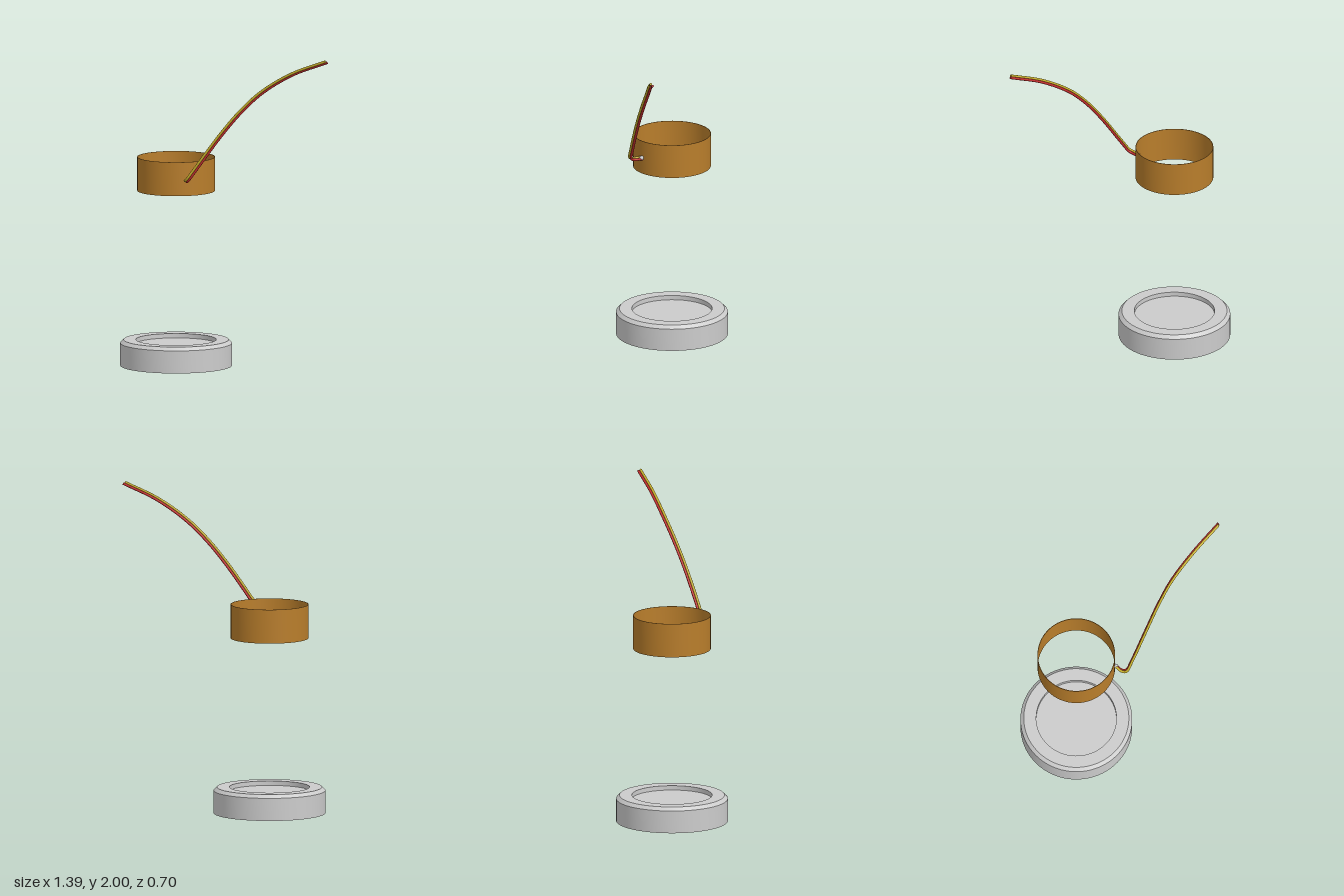
import * as THREE from 'three';
import { toCreasedNormals } from 'three/addons/utils/BufferGeometryUtils.js';

const CX = -0.352; // shared axis of the base and the ring

function lathe(name, points, material) {
  const profile = points.map(([r, y]) => new THREE.Vector2(r, y));
  const geometry = toCreasedNormals(new THREE.LatheGeometry(profile, 96), 0.5);
  const mesh = new THREE.Mesh(geometry, material);
  mesh.name = name;
  mesh.position.x = CX;
  return mesh;
}

// Insulated wire: a tube with a flat cap on each end
function wire(name, points, offset, radius, material) {
  const group = new THREE.Group();
  group.name = name;
  const curve = new THREE.CatmullRomCurve3(points.map((p) => new THREE.Vector3(...p).add(offset)));
  group.add(new THREE.Mesh(new THREE.TubeGeometry(curve, 120, radius, 16), material));
  for (const [t, sign] of [[0, -1], [1, 1]]) {
    const cap = new THREE.Mesh(new THREE.CircleGeometry(radius, 16), material);
    cap.position.copy(curve.getPoint(t));
    cap.quaternion.setFromUnitVectors(
      new THREE.Vector3(0, 0, 1), curve.getTangent(t).multiplyScalar(sign));
    group.add(cap);
  }
  return group;
}

export function createModel() {
  const model = new THREE.Group();
  const mat = (color) => new THREE.MeshStandardMaterial({ color });
  const grey = mat(0xcccccc);
  const copper = mat(0xb87d2b);
  copper.side = THREE.DoubleSide;

  // Disc base with chamfered rim and shallow round recess
  model.add(lathe('base', [
    [0, 0], [0.348, 0], [0.348, 0.142], [0.327, 0.163],
    [0.25, 0.163], [0.25, 0.135], [0, 0.135],
  ], grey));

  // Thin open coil ring floating above the base
  model.add(lathe('coilRing', [
    [0.239, 1.1], [0.242, 1.1], [0.242, 1.313], [0.239, 1.313], [0.239, 1.1],
  ], copper));

  // Pair of lead wires following one path
  const path = [
    [-0.226, 1.203, 0.215], [-0.226, 1.2, 0.262], [-0.212, 1.21, 0.286],
    [-0.16, 1.28, 0.289], [0, 1.5, 0.28], [0.13, 1.655, 0.27], [0.265, 1.78, 0.266],
    [0.46, 1.9, 0.282], [0.683, 1.988, 0.309],
  ];
  const shift = new THREE.Vector3(0.005, -0.004, -0.005);
  model.add(wire('redWire', path, shift, 0.008, mat(0xc02c2c)));
  model.add(wire('yellowWire', path, shift.clone().negate(), 0.008, mat(0xc8b02c)));

  // Solder blob joining the wires to the ring
  const solder = new THREE.Mesh(new THREE.SphereGeometry(0.014, 20, 14), grey);
  solder.name = 'solderJoint';
  solder.position.set(-0.226, 1.204, 0.214);
  model.add(solder);

  return model;
}
